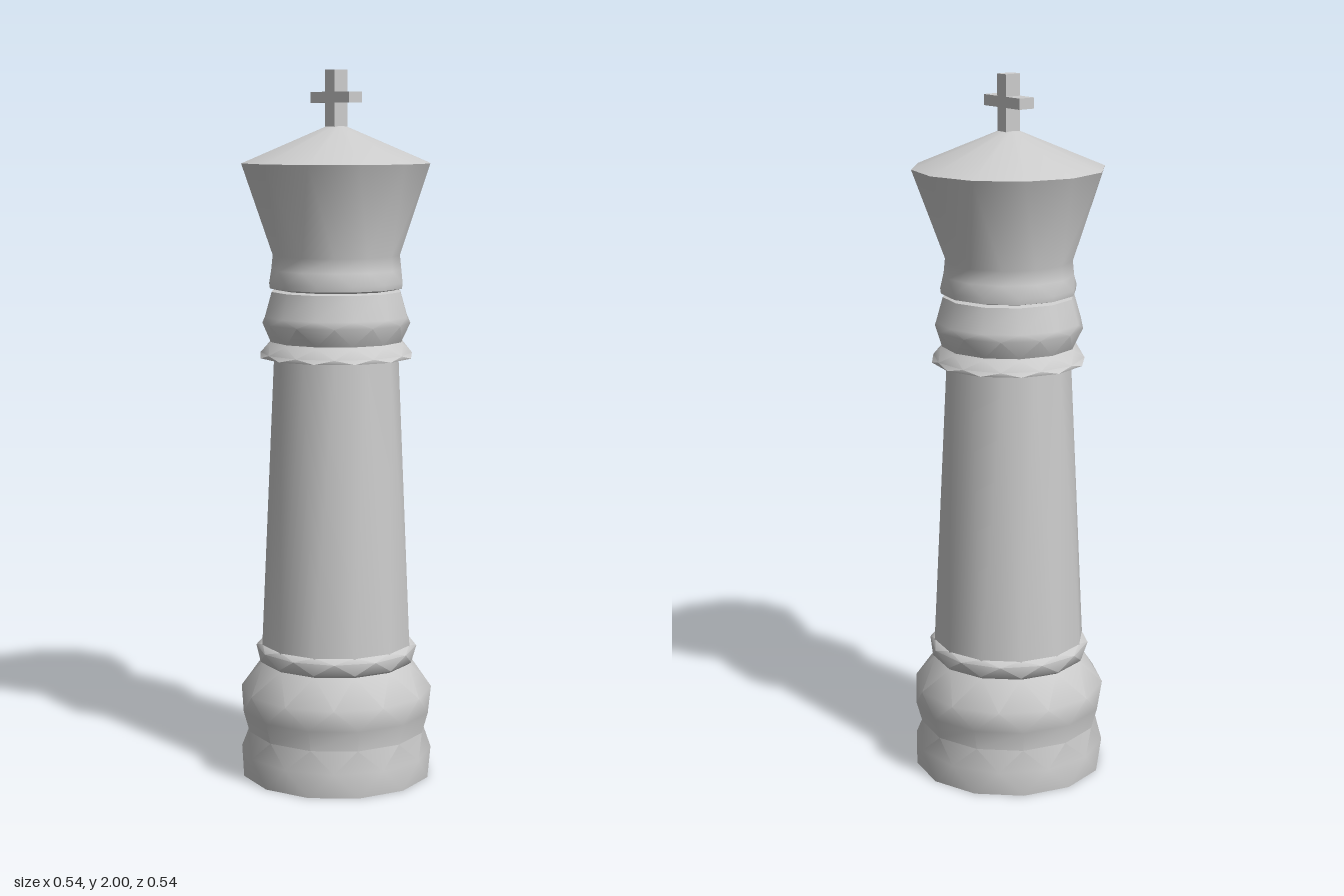
import * as THREE from 'three';
import { toCreasedNormals } from 'three/addons/utils/BufferGeometryUtils.js';

const SIDES = 12;

// Stacks 12-sided rings [radius, height, twist]; a twist of 0.5 turns a ring half a side.
function ringStack(rings) {
  const pos = [];
  const idx = [];
  for (const [r, y, twist = 0] of rings) {
    for (let i = 0; i < SIDES; i++) {
      const a = ((i + twist) / SIDES) * Math.PI * 2;
      pos.push(r * Math.cos(a), y, -r * Math.sin(a));
    }
  }
  for (let k = 0; k < rings.length - 1; k++) {
    const [lowR, , lowT = 0] = rings[k];
    const [upR, , upT = 0] = rings[k + 1];
    for (let i = 0; i < SIDES; i++) {
      const j = (i + 1) % SIDES;
      const a = k * SIDES + i, b = k * SIDES + j;
      const c = a + SIDES, d = b + SIDES;
      if (lowR === 0) idx.push(a, d, c);
      else if (upR === 0) idx.push(a, b, c);
      else if (upT > lowT) idx.push(a, b, c, b, d, c);
      else idx.push(a, b, d, a, d, c);
    }
  }
  const geo = new THREE.BufferGeometry();
  geo.setAttribute('position', new THREE.Float32BufferAttribute(pos, 3));
  geo.setIndex(idx);
  return toCreasedNormals(geo, 0.8);
}

export function createModel() {
  const group = new THREE.Group();
  const grey = new THREE.MeshStandardMaterial({ color: 0xcccccc });
  grey.name = 'light grey';

  const add = (name, geometry, y = 0) => {
    const mesh = new THREE.Mesh(geometry, grey);
    mesh.name = name;
    mesh.position.y = y;
    group.add(mesh);
  };

  // Foot with two bulges
  add('base', ringStack([
    [0, 0], [0.272, 0], [0.273, 0.07, 0.5], [0.255, 0.13],
    [0.272, 0.19], [0.273, 0.25, 0.5], [0.215, 0.33],
  ]));

  // Ring between foot and column
  add('lowerCollar', ringStack([
    [0.21, 0.325], [0.222, 0.335], [0.23, 0.37, 0.5], [0.215, 0.385], [0.19, 0.39],
  ]));

  // Tapering shaft
  add('column', ringStack([[0.217, 0.38], [0.175, 1.21, 0.5]]));

  // Thin flange and bulging ring under the head
  add('upperCollar', ringStack([
    [0.17, 1.2], [0.217, 1.205], [0.213, 1.217, 0.5], [0.193, 1.245],
    [0.188, 1.25], [0.208, 1.3, 0.5], [0.205, 1.32], [0.185, 1.39], [0.16, 1.395],
  ]));

  // Flared head with a low conical roof
  add('head', ringStack([
    [0.16, 1.393], [0.19, 1.4], [0.192, 1.415], [0.182, 1.45, 0.5], [0.178, 1.49, 0.5],
    [0.269, 1.745], [0.03, 1.845], [0, 1.848],
  ]));

  // Cross on top
  add('crossUpright', new THREE.BoxGeometry(0.037, 0.17, 0.05), 1.915);
  add('crossBar', new THREE.BoxGeometry(0.154, 0.03, 0.05), 1.925);

  return group;
}
